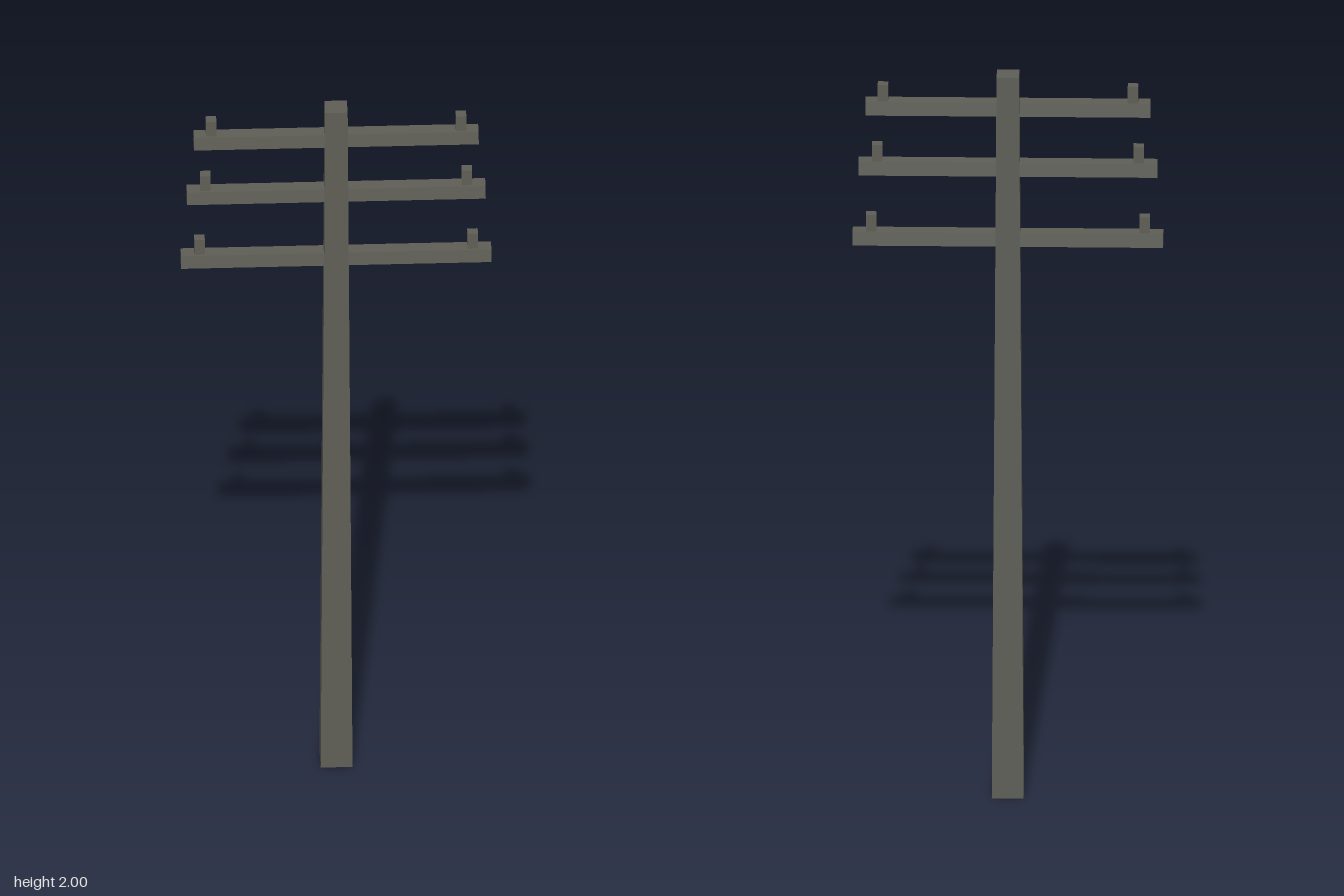
import * as THREE from 'three';

// Square post that tapers from bottom to top; sizes are half widths
function taperedBox(bottomX, bottomZ, topX, topZ, y0, y1) {
  const geo = new THREE.BoxGeometry(2, y1 - y0, 2);
  geo.translate(0, (y0 + y1) / 2, 0);
  const p = geo.attributes.position;
  const mid = (y0 + y1) / 2;
  for (let i = 0; i < p.count; i++) {
    const top = p.getY(i) > mid;
    p.setX(i, p.getX(i) * (top ? topX : bottomX));
    p.setZ(i, p.getZ(i) * (top ? topZ : bottomZ));
  }
  geo.computeVertexNormals();
  return geo;
}

export function createModel() {
  const group = new THREE.Group();
  group.name = 'utilityPole';
  const wood = new THREE.MeshStandardMaterial({ color: 0x5f5f57 });
  wood.name = 'weathered grey wood';

  const add = (parent, name, geo, x = 0) => {
    const mesh = new THREE.Mesh(geo, wood);
    mesh.name = name;
    mesh.position.x = x;
    parent.add(mesh);
  };

  // Tapered pole
  add(group, 'pole', taperedBox(0.041, 0.041, 0.029, 0.029, 0, 2));

  // Crossarms with a peg near each end: half length, underside, peg distance
  const arms = [
    ['upper', 0.367, 1.89, 0.322],
    ['middle', 0.385, 1.723, 0.337],
    ['lower', 0.4, 1.528, 0.352],
  ];
  for (const [level, half, y, pegX] of arms) {
    const arm = new THREE.Group();
    arm.name = `${level}Crossarm`;
    const top = y + 0.036;
    add(arm, `${level}Beam`, taperedBox(half, 0.023, half, 0.019, y, top));
    for (const side of [1, -1]) {
      add(arm, `${level}${side > 0 ? 'Left' : 'Right'}Peg`,
        taperedBox(0.0135, 0.0135, 0.0135, 0.0135, top - 0.002, top + 0.045), side * pegX);
    }
    group.add(arm);
  }
  return group;
}
